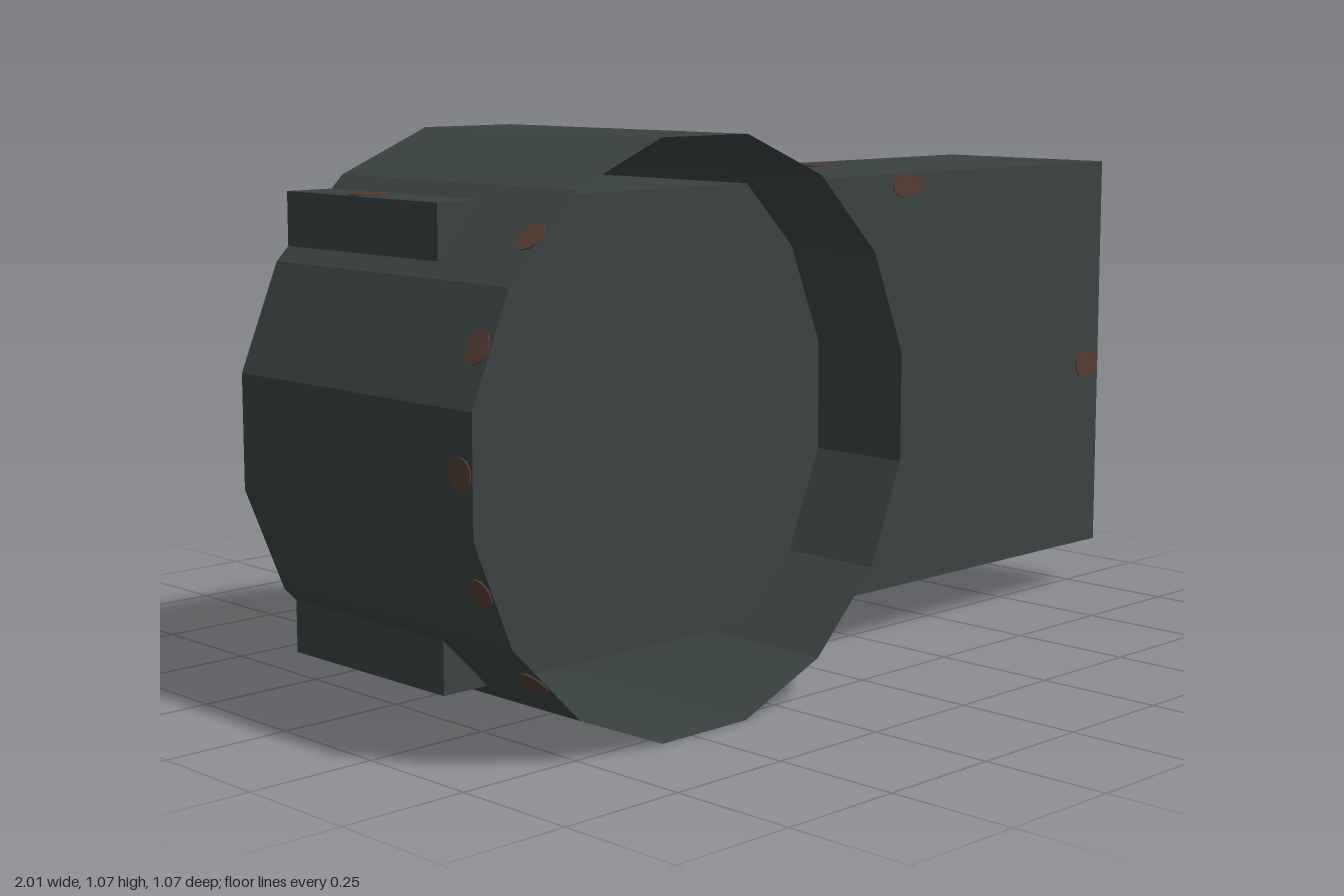
import * as THREE from 'three';

export function createModel() {
  const group = new THREE.Group();
  const std = (name, color) => {
    const m = new THREE.MeshStandardMaterial({ color });
    m.name = name;
    return m;
  };
  const iron = std('darkIron', 0x3a4241);
  iron.side = THREE.DoubleSide;
  iron.flatShading = true;
  const steel = std('greySteel', 0x8d9092);
  steel.flatShading = true;
  const rust = std('rust', 0x543c31);

  const add = (name, geo, mat, x, y, z) => {
    const mesh = new THREE.Mesh(geo, mat);
    mesh.name = name;
    mesh.position.set(x, y, z);
    group.add(mesh);
    return mesh;
  };

  // 16-sided cylinder along z, with flats facing the axes
  const prism = (r, len, open) =>
    new THREE.CylinderGeometry(r, r, len, 16, 1, open, Math.PI / 16).rotateX(Math.PI / 2);

  // Flat arm, open ring around one end, and a handle peg behind the other
  add('arm', new THREE.BoxGeometry(1.893, 0.853, 0.427), iron, 0.0535, 0.5335, 0.1065);
  const ringX = -0.467, ringY = 0.533, apothem = 0.533;
  add('ring', prism(apothem / Math.cos(Math.PI / 16), 0.64, true), iron, ringX, ringY, 0.213);
  add('peg', prism(0.1965, 0.428, false), steel, 0.573, 0.535, -0.321);

  // Rust flecks: thin elliptical plates facing a given direction
  const fleck = (pos, dir, rx, ry) => {
    const geo = new THREE.CylinderGeometry(1, 1, 0.006, 10).rotateX(Math.PI / 2);
    const mesh = add('rustFleck', geo, rust, ...pos);
    mesh.lookAt(new THREE.Vector3(...pos).add(new THREE.Vector3(...dir)));
    mesh.scale.set(rx, ry, 1);
  };
  const front = [0, 0, 1], back = [0, 0, -1], side = [1, 0, 0], top = [0, 1, 0];
  fleck([0.33, 0.935, 0.32], front, 0.045, 0.025);
  fleck([0.957, 0.51, 0.32], front, 0.041, 0.033);
  fleck([0.418, 0.885, -0.107], back, 0.045, 0.032);
  fleck([-0.85, 0.935, -0.107], back, 0.041, 0.025);
  fleck([1, 0.88, 0.135], side, 0.031, 0.031);
  fleck([1, 0.56, 0.185], side, 0.034, 0.034);
  fleck([0.41, 0.96, 0.02], top, 0.045, 0.033);
  fleck([-0.85, 0.96, 0.08], top, 0.04, 0.033);

  // Flecks along the ring's front rim, one per flat, showing inside and out
  for (let i = -2; i <= 2; i++) {
    const a = Math.PI + (i * Math.PI) / 8;
    const c = Math.cos(a), s = Math.sin(a);
    fleck([ringX + apothem * c, ringY + apothem * s, 0.503], [c, s, 0], 0.027, 0.03);
  }
  return group;
}
